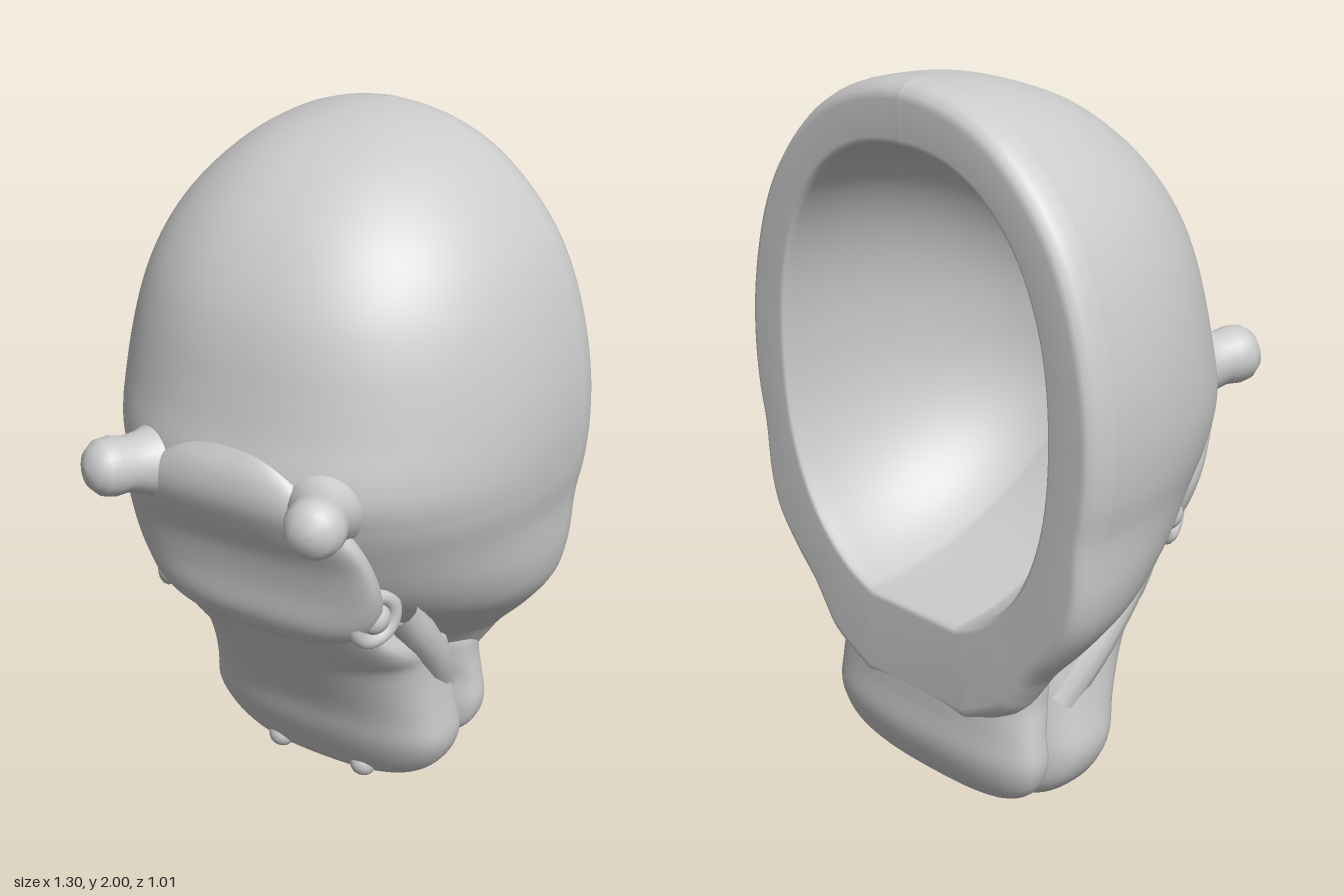
import * as THREE from 'three';

const V = (x, y, z) => new THREE.Vector3(x, y, z);
const mat = new THREE.MeshStandardMaterial({ color: 0xcccccc, side: THREE.DoubleSide });

// Skin a list of equally long point rows
function skin(rows, closed) {
  const n = rows[0].length, idx = [];
  for (let r = 0; r < rows.length - 1; r++) {
    for (let i = 0; i < (closed ? n : n - 1); i++) {
      const a = r * n + i, b = r * n + (i + 1) % n;
      idx.push(a, a + n, b, b, a + n, b + n);
    }
  }
  const g = new THREE.BufferGeometry().setFromPoints(rows.flat());
  g.setIndex(idx);
  g.computeVertexNormals();
  return g;
}

function add(parent, name, geo) {
  const m = new THREE.Mesh(geo, mat);
  m.name = name;
  parent.add(m);
  return m;
}

const smooth = (list, n) =>
  new THREE.CatmullRomCurve3(list.map((p) => V(...p))).getPoints(n);
const sp = (v, e) => Math.sign(v) * Math.abs(v) ** e;

// Closed vertical loft; each station is [y, half width, front z, back z]
function loft(stations, power, segs = 56) {
  const ys = smooth(stations.map(([y, w, f]) => [y, w, f]), 40);
  const bs = smooth(stations.map(([y, w, , b]) => [y, w, b]), 40);
  const e = 2 / power;
  const rows = ys.map((p, k) => {
    const f = p.z, b = bs[k].z, mid = (f + b) / 2, d = (f - b) / 2;
    return Array.from({ length: segs }, (_, i) => {
      const t = (i / segs) * Math.PI * 2;
      return V(p.y * sp(Math.cos(t), e), p.x, mid + d * sp(Math.sin(t), e));
    });
  });
  const cap = (row) => {
    const c = row.reduce((s, p) => s.add(p), V(0, 0, 0)).divideScalar(row.length);
    return row.map(() => c.clone());
  };
  return skin([cap(rows[0]), ...rows, cap(rows.at(-1))], true);
}

export function createModel() {
  const model = new THREE.Group();
  model.name = 'animalHead';

  // Skull front: [y, half width, front z]; boxier above, leaner at the cheeks
  const profile = smooth([
    [0.3, 0.2, -0.36], [0.38, 0.34, -0.28], [0.44, 0.385, -0.22], [0.5, 0.425, -0.15],
    [0.6, 0.515, -0.01], [0.7, 0.583, 0.13], [0.8, 0.61, 0.22], [0.95, 0.622, 0.3],
    [1.05, 0.64, 0.345], [1.13, 0.648, 0.372], [1.2, 0.65, 0.367], [1.3, 0.645, 0.34],
    [1.4, 0.63, 0.318], [1.5, 0.606, 0.295], [1.6, 0.572, 0.26], [1.7, 0.522, 0.203],
    [1.8, 0.445, 0.12], [1.9, 0.332, -0.01], [1.96, 0.215, -0.155], [1.99, 0.1, -0.28],
    [2.0, 0.0005, -0.415],
  ], 100);
  const BACK = -0.42;
  add(model, 'skull', skin(profile.map((p) => Array.from({ length: 65 }, (_, i) => {
    const t = (i / 64) * Math.PI;
    const e = 0.87 + 0.2 * (1 - THREE.MathUtils.smoothstep(p.x, 0.6, 1.05));
    return V(p.y * sp(Math.cos(t), e), p.x, BACK + (p.z - BACK) * Math.abs(Math.sin(t)) ** e);
  })), false));

  // Rounded rim and flat back, then an oval opening leading into a hollow bowl
  const CY = 1.2, A = 0.495, B = 0.635;
  const outline = [
    ...profile.map((p) => V(p.y, p.x, 0)),
    ...profile.slice().reverse().map((p) => V(-p.y, p.x, 0)),
  ];
  const oval = outline.map((p) => {
    const t = Math.atan2(p.x / A, (p.y - CY) / B);
    return V(A * sp(Math.sin(t), 0.88), CY + B * sp(Math.cos(t), 0.88), 0);
  });
  const ring = (pts, s, z) => pts.map((p) => V(p.x * s, CY + (p.y - CY) * s, z));
  const rows = [[1, BACK], [0.996, -0.45], [0.985, -0.475], [0.965, -0.493], [0.94, -0.5]]
    .map(([s, z]) => ring(outline, s, z));
  rows.push(ring(oval, 1.03, -0.5), ring(oval, 1.01, -0.495), ring(oval, 1, -0.48));
  for (let i = 1; i <= 24; i++) {
    const t = (i / 24) * Math.PI / 2;
    rows.push(ring(oval, Math.cos(t), -0.48 + 0.7 * Math.sin(t)));
  }
  add(model, 'rimAndHollow', skin(rows, true));

  // Raised face plate between ears and snout
  add(model, 'brow', loft([
    [0.635, 0.12, 0.17, 0.08], [0.655, 0.22, 0.225, 0.06], [0.69, 0.3, 0.262, 0.04],
    [0.75, 0.35, 0.29, 0.05], [0.85, 0.38, 0.3, 0.12], [0.95, 0.38, 0.322, 0.18],
    [1.04, 0.355, 0.362, 0.225], [1.12, 0.29, 0.39, 0.25], [1.2, 0.2, 0.384, 0.27],
    [1.27, 0.1, 0.345, 0.29],
  ], 2.6));

  // Snout, sloping down from the face
  add(model, 'snout', loft([
    [0.0, 0.13, -0.17, -0.29], [0.025, 0.25, -0.135, -0.34], [0.06, 0.315, -0.1, -0.37],
    [0.12, 0.37, -0.065, -0.385], [0.2, 0.398, -0.03, -0.385], [0.3, 0.385, 0.0, -0.38],
    [0.42, 0.37, 0.055, -0.38], [0.5, 0.368, 0.095, -0.36], [0.56, 0.365, 0.13, -0.2],
    [0.62, 0.35, 0.16, -0.05], [0.7, 0.31, 0.2, 0.07], [0.74, 0.26, 0.215, 0.12],
  ], 2.6));

  // Lower jaw behind the mouth line, merging upward into the rim
  add(model, 'lowerJaw', loft([
    [0.055, 0.15, -0.36, -0.42], [0.08, 0.28, -0.33, -0.455], [0.13, 0.355, -0.31, -0.485],
    [0.21, 0.388, -0.3, -0.505], [0.3, 0.38, -0.3, -0.5], [0.38, 0.37, -0.28, -0.498],
    [0.45, 0.37, -0.28, -0.495], [0.51, 0.36, -0.34, -0.49], [0.545, 0.3, -0.4, -0.48],
  ], 2.6));

  for (const s of [1, -1]) {
    const side = new THREE.Group();
    side.name = s > 0 ? 'leftDetails' : 'rightDetails';
    model.add(side);

    // Stubby ear with a flared root
    const ear = add(side, 'ear', new THREE.LatheGeometry([
      [0.13, 0], [0.108, 0.06], [0.086, 0.11], [0.076, 0.16], [0.082, 0.2],
      [0.076, 0.235], [0.054, 0.262], [0.022, 0.275], [0, 0.277],
    ].map(([r, y]) => new THREE.Vector2(r, y)), 28));
    ear.position.set(s * 0.24, 1.125, 0.245);
    ear.quaternion.setFromUnitVectors(V(0, 1, 0), V(s * 0.11, 0.035, 0.25).normalize());

    // Sideways facing eye with a lid ring
    const eye = add(side, 'eye', new THREE.SphereGeometry(0.05, 24, 16));
    eye.position.set(s * 0.325, 0.76, 0.15);
    const lid = add(side, 'eyelid', new THREE.TorusGeometry(0.065, 0.024, 12, 32));
    lid.position.set(s * 0.335, 0.76, 0.155);
    lid.rotation.y = s * 1.2;

    // Skin fold from the eye to the corner of the mouth
    add(side, 'cheekFold', new THREE.TubeGeometry(new THREE.CatmullRomCurve3([
      V(s * 0.345, 0.74, 0.04), V(s * 0.355, 0.62, -0.05),
      V(s * 0.345, 0.48, -0.16), V(s * 0.31, 0.34, -0.26),
    ]), 24, 0.055, 12));

    // Nostril bump
    const nostril = add(side, 'nostril', new THREE.SphereGeometry(0.042, 20, 14));
    nostril.position.set(s * 0.145, 0.065, -0.125);
  }
  return model;
}
